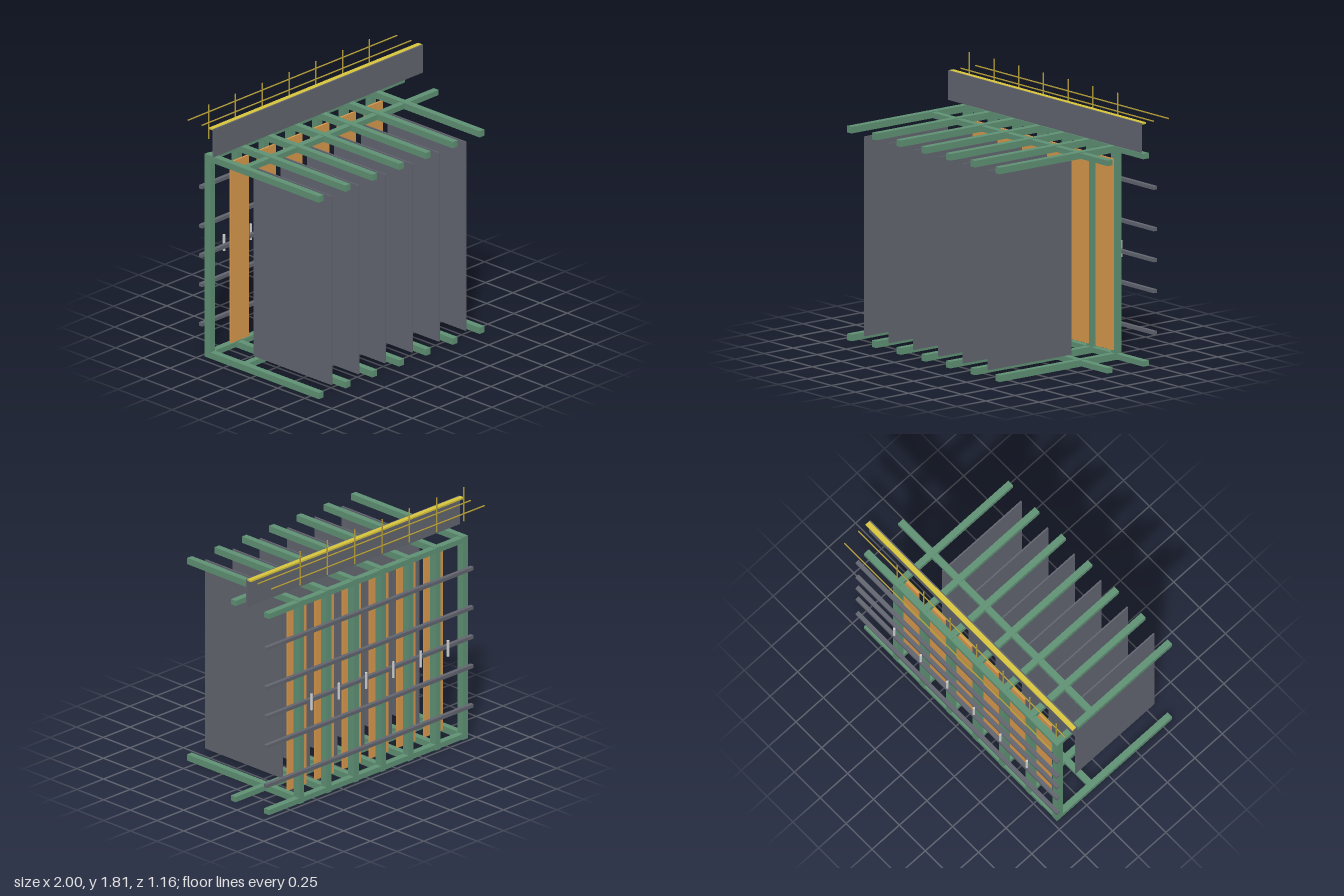
import * as THREE from 'three';

const mat = (color) => new THREE.MeshStandardMaterial({ color });

export function createModel() {
  const root = new THREE.Group();
  const green = mat(0x5f9174), slate = mat(0x62656f), orange = mat(0xd9994c);
  const yellow = mat(0xd8c63c), brass = mat(0xb39c36), grey = mat(0xcccccc);

  // Box given by its extents on each axis
  function box(name, material, [x0, x1], [y0, y1], [z0, z1]) {
    const mesh = new THREE.Mesh(new THREE.BoxGeometry(x1 - x0, y1 - y0, z1 - z0), material);
    mesh.position.set((x0 + x1) / 2, (y0 + y1) / 2, (z0 + z1) / 2);
    mesh.name = name;
    root.add(mesh);
  }

  // Round bar along x or y
  function rod(name, material, radius, length, x, y, z, alongX = false) {
    const mesh = new THREE.Mesh(new THREE.CylinderGeometry(radius, radius, length, 12), material);
    if (alongX) mesh.rotation.z = Math.PI / 2;
    mesh.position.set(x, y, z);
    mesh.name = name;
    root.add(mesh);
  }

  const pitch = 0.2565, firstX = -0.925, half = 0.0225;

  // Seven structural bays: post, floor beam, roof beam, railing stanchion
  for (let i = 0; i < 7; i++) {
    const x = firstX + i * pitch, span = [x - half, x + half];
    box('post', green, span, [0.045, 1.415], [-0.472, -0.418]);
    box('floorBeam', green, span, [0, 0.045], [-0.472, 0.578]);
    box('roofBeam', green, span, [1.415, 1.46], [-0.472, 0.578]);
    rod('railingPost', brass, 0.005, 0.245, x, 1.688, -0.457);
  }

  // Long frame rails, top and bottom
  for (const y of [0.005, 1.418]) {
    box('backFrameRail', green, [-0.947, 0.92], [y, y + 0.037], [-0.471, -0.424]);
    box('middleFrameRail', green, [-0.947, 0.92], [y, y + 0.037], [-0.159, -0.114]);
  }

  // Six stalls: divider, hanging door panel and pull handle
  for (let i = 0; i < 6; i++) {
    const x = -0.797 + i * pitch;
    box('divider', slate, [x - 0.005, x + 0.005], [0.05, 1.41], [-0.162, 0.555]);
    box('doorPanel', orange, [x, x + 0.172], [0.078, 1.382], [-0.388, -0.374]);
    rod('handle', grey, 0.009, 0.115, x + 0.087, 0.733, -0.522);
  }

  // Horizontal back rails
  for (const y of [0.235, 0.519, 0.73, 0.941, 1.223]) {
    box('backRail', slate, [-0.973, 0.97], [y - 0.012, y + 0.012], [-0.5, -0.472]);
  }

  // Fascia with its capping strip and the two long railing bars
  box('fascia', slate, [-1, 1], [1.49, 1.69], [-0.348, -0.336]);
  box('fasciaCap', yellow, [-1, 1], [1.68, 1.692], [-0.381, -0.346]);
  rod('railingBar', brass, 0.005, 2, 0, 1.688, -0.446, true);
  rod('railingBar', brass, 0.005, 2, 0, 1.688, -0.573, true);

  return root;
}
